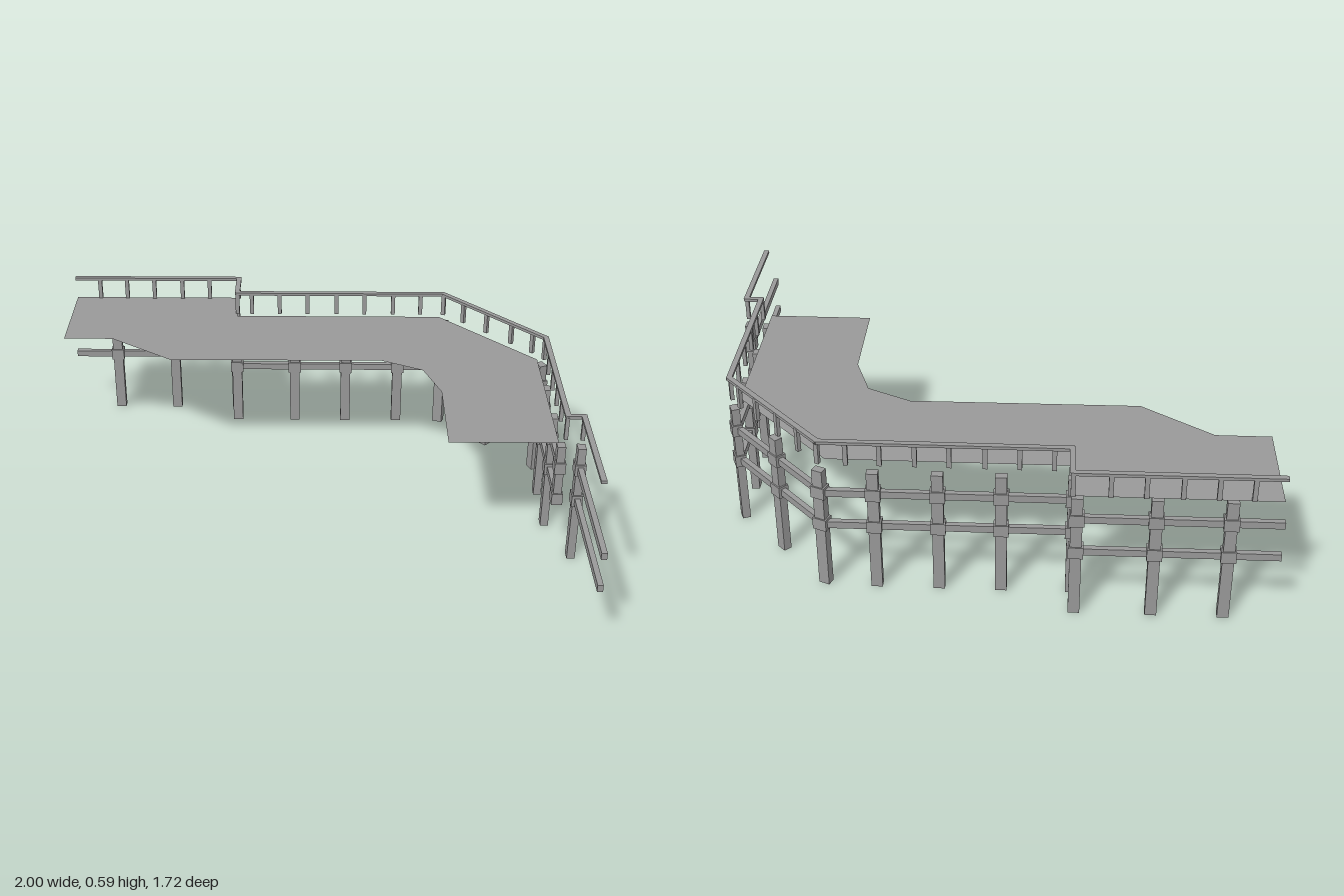
import * as THREE from 'three';

const material = new THREE.MeshStandardMaterial({ color: 0x999999, flatShading: true });
const deckMaterial = new THREE.MeshStandardMaterial({ color: 0x999999, side: THREE.DoubleSide });

const POST_TOP = 0.472, DECK_Y = 0.5, RAIL_Y = 0.588;
const BEAM_HEIGHTS = [0.255, 0.385];

export function createModel() {
  const model = new THREE.Group();
  model.name = 'boardwalk';

  const addBox = (name, size, position, angle = 0) => {
    const mesh = new THREE.Mesh(new THREE.BoxGeometry(...size), material);
    mesh.name = name;
    mesh.position.set(...position);
    mesh.rotation.y = angle;
    model.add(mesh);
  };

  // Horizontal bar between two plan points [x, z]
  const addBar = (name, a, b, y, height, width, extra = 0) => {
    const dx = b[0] - a[0], dz = b[1] - a[1];
    addBox(name, [Math.hypot(dx, dz) + extra, height, width],
      [(a[0] + b[0]) / 2, y, (a[1] + b[1]) / 2], Math.atan2(-dz, dx));
  };

  // Flat walking surface, drawn in plan
  const outline = [
    [-0.985, -0.855], [-0.3, -0.855], [-0.3, -0.68], [0.53, -0.68], [0.89, -0.305],
    [0.89, 0.33], [0.5, 0.33], [0.5, -0.04], [0.44, -0.21], [0.28, -0.29],
    [-0.54, -0.285], [-0.79, -0.465], [-0.985, -0.465],
  ];
  const shape = new THREE.Shape(outline.map(([x, z]) => new THREE.Vector2(x, -z)));
  const deck = new THREE.Mesh(new THREE.ShapeGeometry(shape).rotateX(-Math.PI / 2), deckMaterial);
  deck.name = 'deck';
  deck.position.y = DECK_Y;
  model.add(deck);

  // Posts [x, z, heading in degrees, foot height], each with a joint block at both beams
  const posts = [
    [-0.825, -0.818, 0], [-0.58, -0.818, 0], [-0.318, -0.818, 0],
    [-0.308, -0.708, 0], [-0.065, -0.708, 0], [0.15, -0.708, 0], [0.368, -0.708, 0],
    [0.55, -0.7, -22.5], [0.73, -0.51, -45], [0.91, -0.32, -67.5],
    [0.905, -0.127, 90], [0.905, 0.09, 90], [0.905, 0.296, 90, 0.23], [0.976, 0.308, 90],
  ];
  for (const [x, z, degrees, foot = 0] of posts) {
    const angle = THREE.MathUtils.degToRad(degrees);
    addBox('post', [0.04, POST_TOP - foot, 0.03], [x, (POST_TOP + foot) / 2, z], angle);
    for (const y of BEAM_HEIGHTS) addBox('jointBlock', [0.052, 0.045, 0.04], [x, y, z], angle);
  }

  // Two levels of cross beams
  const beamRuns = [
    [[-1, -0.818], [-0.3, -0.818]],
    [[-0.308, -0.708], [0.55, -0.708]],
    [[0.55, -0.7], [0.91, -0.32]],
    [[0.905, -0.32], [0.905, 0.31]],
    [[0.976, 0.296], [0.976, 0.86]],
  ];
  for (const [a, b] of beamRuns) {
    for (const y of BEAM_HEIGHTS) addBar('beam', a, b, y, 0.026, 0.02);
  }

  // Handrail following the outer edge
  const railPath = [
    [-0.982, -0.853], [-0.3, -0.853], [-0.3, -0.711], [0.547, -0.711],
    [0.919, -0.315], [0.919, 0.296], [0.976, 0.296], [0.976, 0.722],
  ];
  for (let i = 1; i < railPath.length; i++) {
    addBar('handrail', railPath[i - 1], railPath[i], RAIL_Y, 0.011, 0.02, 0.012);
  }

  // Balusters along each railed side
  const balusters = [
    ...[-0.886, -0.773, -0.658, -0.54, -0.425, -0.303].map((x) => [x, -0.853, 0]),
    ...[-0.3, -0.241, -0.126, -0.011, 0.109, 0.224, 0.342, 0.455].map((x) => [x, -0.708, 0]),
    [0.55, -0.705, -22.5],
    ...[0.2, 0.43, 0.67, 0.87].map((t) => [0.552 + 0.372 * t, -0.711 + 0.396 * t, -45]),
    [0.917, -0.31, -67.5],
    ...[-0.184, -0.064, 0.056, 0.171, 0.3].map((z) => [0.917, z, 90]),
    [0.976, 0.306, 90],
  ];
  const balusterHeight = RAIL_Y - DECK_Y;
  for (const [x, z, degrees] of balusters) {
    addBox('baluster', [0.016, balusterHeight, 0.014], [x, DECK_Y + balusterHeight / 2, z],
      THREE.MathUtils.degToRad(degrees));
  }

  return model;
}
